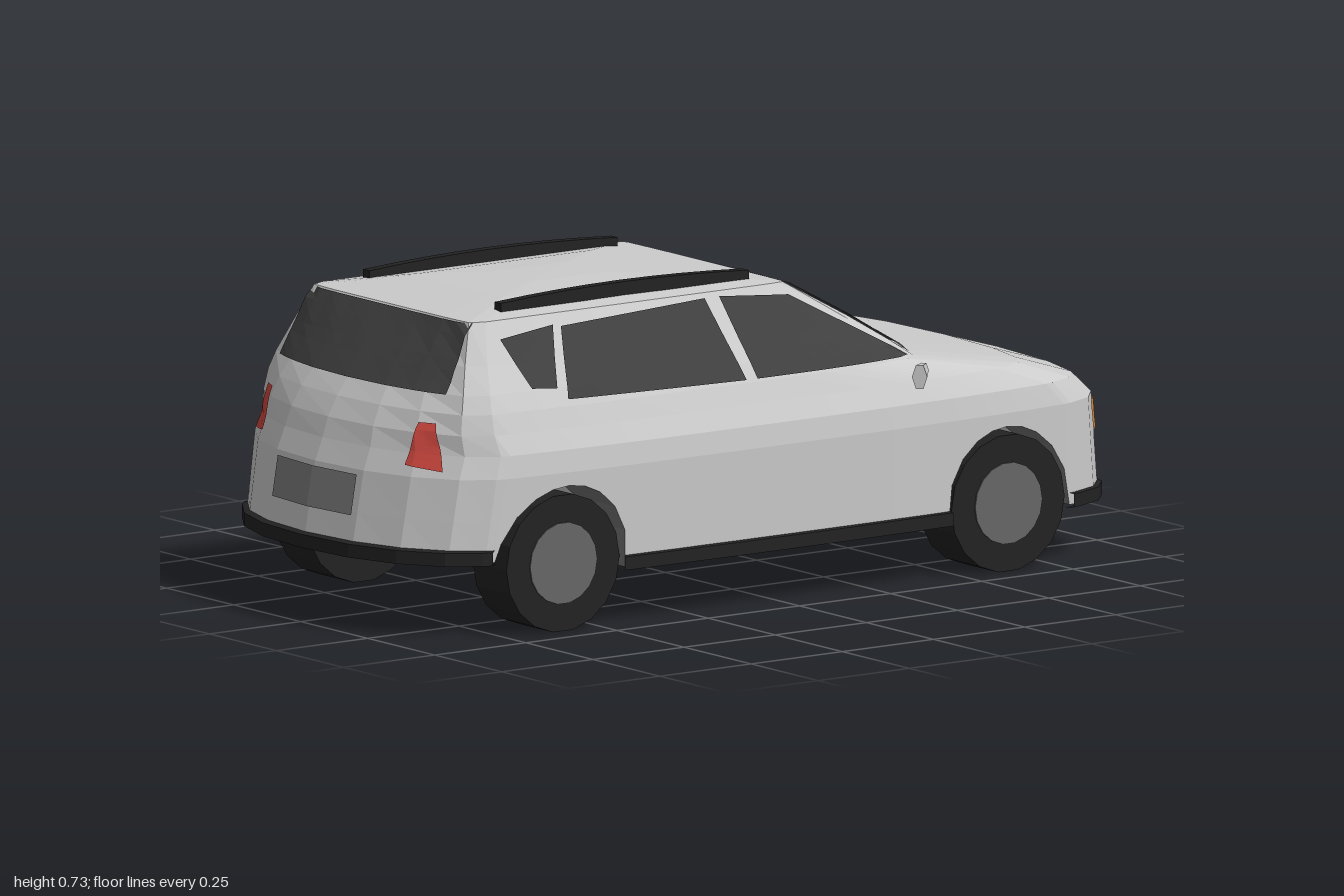
import * as THREE from 'three';

const mat = (color) => new THREE.MeshStandardMaterial({ color, flatShading: true, side: THREE.DoubleSide });
const paint = mat(0xcccccc), black = mat(0x222222), glass = mat(0x404040), under = mat(0x777777);
const red = mat(0xd0483f), amber = mat(0xcc8844), hubGrey = mat(0x666666), plateGrey = mat(0x808080);

// Skin through rows of points; each row has the same count
function loft(name, rows, material, closed = false) {
  const n = rows[0].length, index = [];
  for (let r = 0; r < rows.length - 1; r++) {
    for (let i = 0; i < (closed ? n : n - 1); i++) {
      const a = r * n + i, b = r * n + (i + 1) % n;
      index.push(a, b, a + n, b, b + n, a + n);
    }
  }
  const g = new THREE.BufferGeometry();
  g.setAttribute('position', new THREE.Float32BufferAttribute(rows.flat(2), 3));
  g.setIndex(index);
  g.computeVertexNormals();
  const m = new THREE.Mesh(g, material);
  m.name = name;
  return m;
}

// Wheel arches and the plan outline of one side, from tail (+z) to nose (-z)
const ARCHES = [0.612, -0.63], ARCH_R = 0.175;
const side = (z) => [1 - 0.06 * Math.abs(z / 0.8) ** 3, z, 1, z];
const archCols = (c) => [1, 0.94, 0.75, 0.5, 0.25, 0, -0.25, -0.5, -0.75, -0.94, -1].map((t) => side(c + t * ARCH_R));
// x, z of the rounded outline, then x, z of the squared one
const COLS = [
  [0, 1, 0, 1], [0.35, 0.985, 0.35, 1], [0.62, 0.945, 0.65, 1], [0.83, 0.88, 0.95, 0.995], [0.93, 0.81, 1, 0.95],
  ...archCols(ARCHES[0]),
  ...[0.3, 0.15, 0, -0.15, -0.3].map(side),
  ...archCols(ARCHES[1]),
  [0.93, -0.825, 1, -0.93], [0.86, -0.9, 0.96, -0.985], [0.74, -0.95, 0.75, -0.995], [0.45, -0.985, 0.45, -1], [0, -1, 0, -1],
];

// y, half width, nose z, tail z, squareness of nose and tail
const RINGS = [
  [0.13, 0.45, 0.99, 1.0, 0, 0], [0.36, 0.46, 0.965, 0.96, 0, 0], [0.41, 0.455, 0.91, 0.94, 0, 0],
  [0.455, 0.435, 0.76, 0.925, 0.05, 0.15], [0.5, 0.417, 0.46, 0.9, 0, 0.3], [0.54, 0.395, 0.39, 0.87, 0.15, 0.45],
  [0.6, 0.357, 0.28, 0.825, 0.4, 0.65], [0.69, 0.304, 0.11, 0.755, 0.85, 1],
];

// Point on the body skin for an outline column at height y
function skin([x, z, qx, qz], y) {
  let k = 0;
  while (k < RINGS.length - 2 && y > RINGS[k + 1][0]) k++;
  const t = (y - RINGS[k][0]) / (RINGS[k + 1][0] - RINGS[k][0]);
  const [, w, nose, tail, qn, qt] = RINGS[k].map((v, j) => v + (RINGS[k + 1][j] - v) * t);
  const q = z < 0 ? qn : qt;
  return [w * (x + (qx - x) * q), y, (z + (qz - z) * q) * (z < 0 ? nose : tail)];
}

const baseY = (z) => THREE.MathUtils.mapLinear(THREE.MathUtils.clamp(z, 0.44, 0.79), 0.44, 0.79, 0.13, 0.175);
function bottomY([, z]) {
  let y = baseY(z);
  for (const c of ARCHES) {
    const d = ARCH_R ** 2 - (z - c) ** 2;
    if (d > 1e-4) y = Math.max(y, 0.155 + Math.sqrt(d));
  }
  return y;
}

const flip = ([x, y, z]) => [-x, y, z];
const fullRing = (half) => [...half, ...half.slice(1, -1).reverse().map(flip)];

function createBody() {
  const rows = [
    COLS.map((c) => skin(c, bottomY(c))),
    COLS.map((c) => skin(c, (bottomY(c) + 0.36) / 2)),
    ...RINGS.slice(1).map((r) => COLS.map((c) => skin(c, r[0]))),
  ];
  // crowned roof closing towards its middle
  const rim = rows[rows.length - 1];
  for (const [s, y] of [[0.57, 0.709], [0.25, 0.714], [0, 0.715]]) {
    rows.push(rim.map(([x, , z]) => [x * s, y, 0.32 + (z - 0.32) * s]));
  }
  return loft('body', rows.map(fullRing), paint, true);
}

// Floor, wheel wells and bumper undersides
function underside(name, from, to, material) {
  const rows = COLS.slice(from, to + 1).map((c) => {
    const p = skin(c, bottomY(c)), x = Math.min(p[0], 0.305);
    const half = [p, [x, p[1], p[2]], [x, baseY(c[1]), p[2]]];
    return [...half, ...half.map(flip).reverse()];
  });
  return loft(name, rows, material);
}

// Protruding black strip along the lower edge
function trim(name, from, to, s) {
  const cols = COLS.slice(from, to + 1);
  const line = (dx, dy) => cols.map((c) => {
    const [x, y, z] = skin(c, baseY(c[1]));
    const k = 1 + dx / Math.max(Math.hypot(x, z), 0.4);
    return [s * x * k, y + dy, THREE.MathUtils.clamp(z * k, -1, 1)];
  });
  return loft(name, [line(-0.01, -0.006), line(0.01, -0.006), line(0.01, 0.024), line(-0.01, 0.03)], black);
}

// Panel laid on the body: a quad seen along an axis, projected onto the skin
function panel(name, body, axis, sign, [a, b, c, d], material, bow = 0) {
  const NU = 14, NV = 6, rows = [], ray = new THREE.Raycaster();
  const dir = new THREE.Vector3();
  dir[axis] = -sign;
  let last = 0;
  for (let j = 0; j <= NV; j++) {
    const row = [];
    for (let i = 0; i <= NU; i++) {
      const u = i / NU, v = j / NV;
      const mix = (k) => (a[k] * (1 - u) + b[k] * u) * (1 - v) + (d[k] * (1 - u) + c[k] * u) * v;
      const m = mix(0), n = mix(1) - bow * (1 - v) * (1 - (2 * u - 1) ** 2);
      const o = axis === 'x' ? new THREE.Vector3(0, n, m) : axis === 'y' ? new THREE.Vector3(m, 0, n) : new THREE.Vector3(m, n, 0);
      o[axis] = sign * 3;
      ray.set(o, dir);
      const hit = ray.intersectObject(body)[0];
      if (hit) last = hit.point[axis];
      o[axis] = last + sign * 0.006;
      row.push(o.toArray());
    }
    rows.push(row);
  }
  return loft(name, rows, material);
}

function createWheel(s, z) {
  const wheel = new THREE.Group();
  wheel.name = 'wheel';
  const tyre = new THREE.Mesh(new THREE.CylinderGeometry(0.155, 0.155, 0.125, 18), black);
  tyre.name = 'tyre';
  const hub = new THREE.Mesh(new THREE.CylinderGeometry(0.092, 0.092, 0.131, 18), hubGrey);
  hub.name = 'hubcap';
  wheel.add(tyre, hub);
  wheel.rotation.z = Math.PI / 2;
  wheel.position.set(s * 0.372, 0.155, z);
  return wheel;
}

export function createModel() {
  const car = new THREE.Group();
  car.name = 'car';
  const body = createBody();
  body.updateMatrixWorld();
  const last = COLS.length - 1;
  car.add(body,
    underside('rearBumperBase', 0, 5, black), underside('rearUnderside', 5, 15, under),
    underside('floor', 15, 21, black), underside('frontUnderside', 21, 31, under),
    underside('frontBumperBase', 31, last, black));

  // End glass, plate and grille
  car.add(
    panel('rearWindow', body, 'z', 1, [[-0.31, 0.54], [0.31, 0.54], [0.295, 0.688], [-0.295, 0.688]], glass),
    panel('windshield', body, 'y', 1, [[-0.365, -0.4], [0.365, -0.4], [0.28, -0.135], [-0.28, -0.135]], glass, 0.05),
    panel('numberPlate', body, 'z', 1, [[-0.147, 0.26], [0.147, 0.26], [0.147, 0.35], [-0.147, 0.35]], plateGrey),
    panel('grille', body, 'z', -1, [[-0.3, 0.16], [0.3, 0.16], [0.23, 0.26], [-0.23, 0.26]], plateGrey));

  for (const s of [1, -1]) {
    car.add(trim('rearBumperTrim', 0, 5, s), trim('sillTrim', 15, 21, s), trim('frontBumperTrim', 31, last, s));
    for (const z of [0.6, -0.62]) car.add(createWheel(s, z));

    // Side windows
    car.add(
      panel('quarterWindow', body, 'x', s, [[0.65, 0.545], [0.585, 0.54], [0.545, 0.668], [0.695, 0.652]], glass),
      panel('rearDoorWindow', body, 'x', s, [[0.565, 0.515], [0.085, 0.507], [0.125, 0.68], [0.525, 0.663]], glass),
      panel('frontDoorWindow', body, 'x', s, [[0.055, 0.507], [-0.385, 0.507], [-0.1, 0.665], [0.085, 0.68]], glass));

    // Lamps
    car.add(
      panel('tailLight', body, 'z', 1, [[s * 0.265, 0.385], [s * 0.348, 0.375], [s * 0.31, 0.478], [s * 0.272, 0.478]], red),
      panel('headlight', body, 'z', -1, [[s * 0.27, 0.29], [s * 0.375, 0.275], [s * 0.39, 0.35], [s * 0.24, 0.345]], amber));

    // Door mirror
    const mirror = new THREE.Mesh(new THREE.CylinderGeometry(0.021, 0.034, 0.085, 6), paint);
    mirror.name = 'mirror';
    mirror.geometry.rotateZ(Math.PI / 2).scale(1, 0.9, 0.5);
    mirror.rotation.y = s > 0 ? -0.75 : Math.PI + 0.75;
    mirror.position.set(s * 0.46, 0.478, -0.365);
    car.add(mirror);

    // Roof rail
    const rail = [];
    for (let i = 0; i <= 8; i++) {
      const z = -0.04 + 0.085 * i, y = 0.728 - 0.012 * ((i - 4) / 4) ** 2;
      rail.push([[0.233, y - 0.03], [0.257, y - 0.03], [0.257, y], [0.233, y]].map(([x, h]) => [s * x, h, z]));
    }
    const tip = (row) => row.map(() => [s * 0.245, row[0][1] + 0.015, row[0][2]]);
    car.add(loft('roofRail', [tip(rail[0]), ...rail, tip(rail[8])], black, true));
  }
  return car;
}
